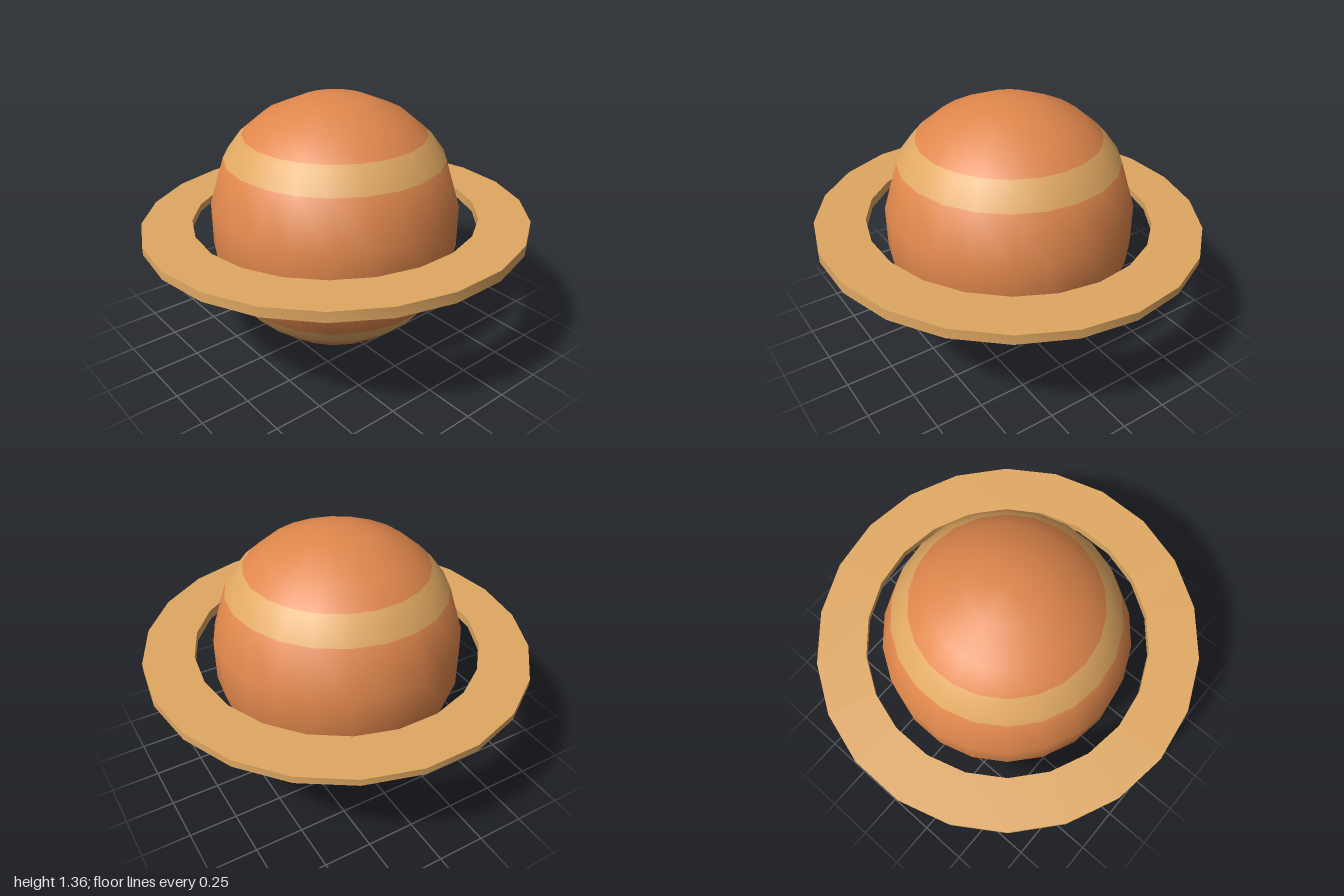
import * as THREE from 'three';
import { toCreasedNormals } from 'three/addons/utils/BufferGeometryUtils.js';

const SIDES = 22;
const MID = 0.678; // height of the planet's centre

const lathe = (pts) => new THREE.LatheGeometry(pts.map(([r, y]) => new THREE.Vector2(r, y)), SIDES);

export function createModel() {
  const model = new THREE.Group();
  const orange = new THREE.MeshStandardMaterial({ color: 0xe0874c });
  orange.name = 'planetOrange';
  const sand = new THREE.MeshStandardMaterial({ color: 0xe0a862 });
  sand.name = 'sand';

  const add = (name, geometry, material) => {
    const mesh = new THREE.Mesh(geometry, material);
    mesh.name = name;
    model.add(mesh);
  };

  // Planet slice: smooth across its joins by pointing normals out from the centre
  const slice = (name, pts, material) => {
    const g = lathe(pts);
    const p = g.attributes.position, v = new THREE.Vector3();
    for (let i = 0; i < p.count; i++) {
      v.fromBufferAttribute(p, i);
      v.y -= MID;
      v.normalize();
      g.attributes.normal.setXYZ(i, v.x, v.y, v.z);
    }
    add(name, g, material);
  };
  slice('southCap', [[0, 0], [0.175, 0.035], [0.364, 0.113], [0.468, 0.205]], orange);
  slice('southBand', [[0.468, 0.205], [0.494, 0.225], [0.566, 0.32]], sand);
  slice('planetMiddle', [[0.566, 0.32], [0.643, 0.567], [0.643, 0.79], [0.566, 1.036]], orange);
  slice('northBand', [[0.566, 1.036], [0.494, 1.133], [0.468, 1.155]], sand);
  slice('northCap', [[0.468, 1.155], [0.367, 1.24], [0.177, 1.323], [0, 1.355]], orange);

  // Ring: flat washer, tilted and slightly thicker towards +x
  const ring = lathe([[0.745, 0], [1.005, 0], [1.005, 1], [0.745, 1], [0.745, 0]]);
  const p = ring.attributes.position;
  for (let i = 0; i < p.count; i++) {
    const x = p.getX(i);
    p.setY(i, p.getY(i) > 0.5 ? 0.709 + 0.033 * x : 0.664 + 0.022 * x);
  }
  add('ring', toCreasedNormals(ring, 0.6), sand);

  return model;
}
